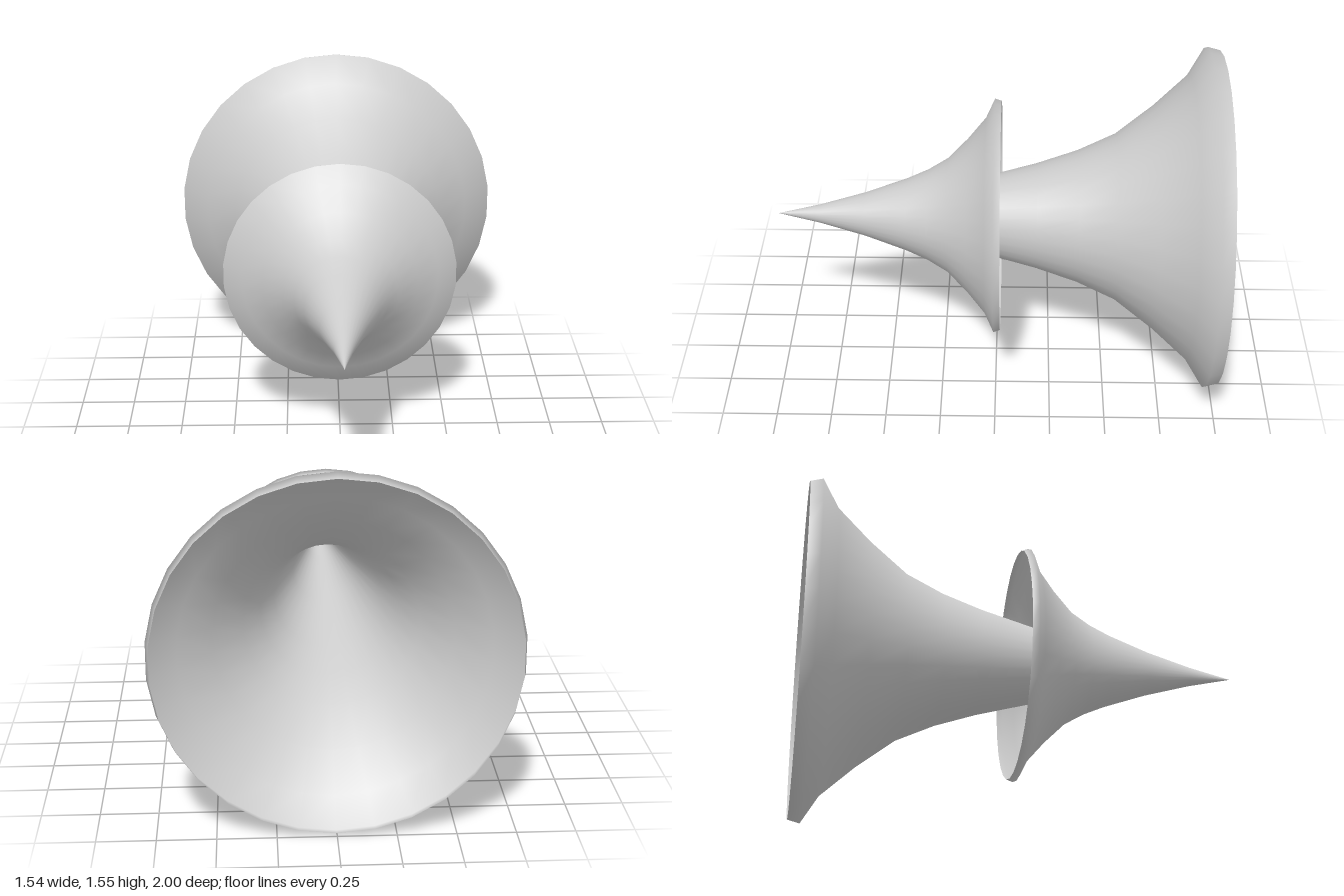
import * as THREE from 'three';

// Flared horn profile: [distance from the open end, radius], rim to tip
const PROFILE = [
  [0, 0.525], [0.03, 0.535], [0.07, 0.449], [0.151, 0.353], [0.242, 0.262],
  [0.333, 0.208], [0.43, 0.166], [0.62, 0.1], [0.825, 0.043], [1.02, 0],
];
const AXIS_HEIGHT = 0.78;

export function createModel() {
  const model = new THREE.Group();
  model.name = 'nestedHorns';

  const grey = new THREE.MeshStandardMaterial({ color: 0xcccccc, side: THREE.DoubleSide });
  grey.name = 'light grey';

  // Thin open horn pointing forward, its rim at rimZ
  function horn(name, radiusScale, lengthScale, rimZ) {
    const points = PROFILE.map(([d, r]) => new THREE.Vector2(r * radiusScale, d * lengthScale));
    const geometry = new THREE.LatheGeometry(points, 30);
    geometry.rotateX(Math.PI / 2);
    const mesh = new THREE.Mesh(geometry, grey);
    mesh.name = name;
    mesh.position.set(0, AXIS_HEIGHT, rimZ);
    model.add(mesh);
  }

  horn('frontHorn', 1, 1, -0.02);
  // The rear horn's point sits inside the front horn
  horn('rearHorn', 1.45, 1.9, -1);

  return model;
}
